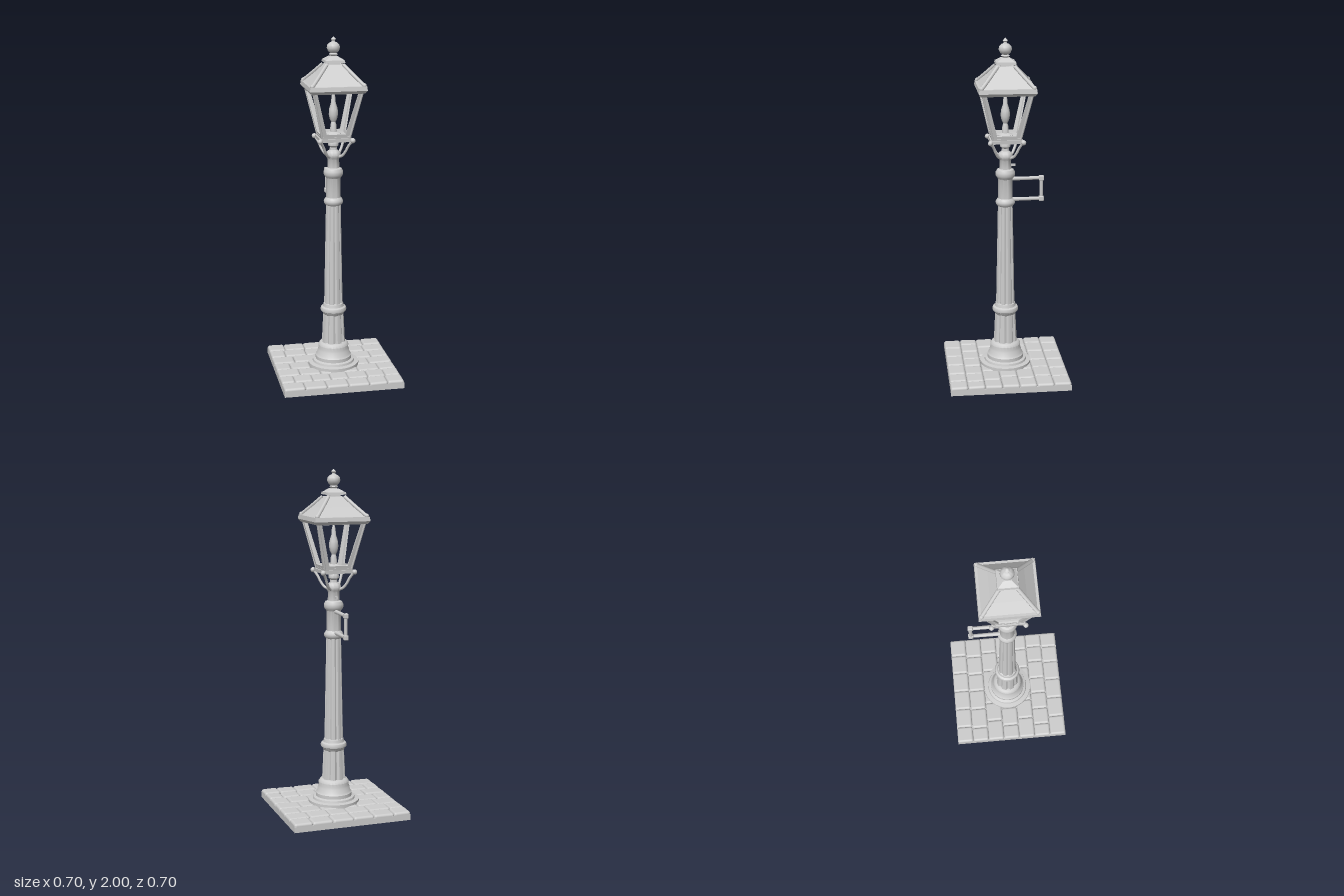
import * as THREE from 'three';
import { toCreasedNormals } from 'three/addons/utils/BufferGeometryUtils.js';
import { RoundedBoxGeometry } from 'three/addons/geometries/RoundedBoxGeometry.js';

const grey = new THREE.MeshStandardMaterial({ color: 0xcccccc });
grey.name = 'plain grey';

function add(parent, name, geometry, x = 0, y = 0, z = 0) {
  const mesh = new THREE.Mesh(geometry, grey);
  mesh.name = name;
  mesh.position.set(x, y, z);
  parent.add(mesh);
  return mesh;
}

// Turned part from [radius, height] pairs
function turned(parent, name, profile, segments = 28) {
  const points = profile.map(([r, y]) => new THREE.Vector2(r, y));
  return add(parent, name, toCreasedNormals(new THREE.LatheGeometry(points, segments), 0.7));
}

// Square tapered block between two heights, given half widths
function squareTaper(parent, name, halfBottom, halfTop, y0, y1) {
  const g = new THREE.CylinderGeometry(halfTop * Math.SQRT2, halfBottom * Math.SQRT2, y1 - y0, 4);
  g.rotateY(Math.PI / 4);
  return add(parent, name, toCreasedNormals(g, 0.5), 0, (y0 + y1) / 2, 0);
}

// Round rod through points
function rod(parent, name, points, radius) {
  const path = new THREE.CatmullRomCurve3(points.map((p) => new THREE.Vector3(...p)));
  return add(parent, name, new THREE.TubeGeometry(path, 14, radius, 8));
}

// Tapered shaft with eight hollow flutes
function flutedShaft(parent, name, r0, r1, y0, y1) {
  const g = new THREE.CylinderGeometry(r1, r0, y1 - y0, 64, 1, true);
  const p = g.attributes.position;
  for (let i = 0; i < p.count; i++) {
    const a = Math.atan2(p.getZ(i), p.getX(i));
    const k = 1 - 0.13 * Math.max(0, Math.cos(8 * a));
    p.setX(i, p.getX(i) * k);
    p.setZ(i, p.getZ(i) * k);
  }
  return add(parent, name, toCreasedNormals(g, 0.6), 0, (y0 + y1) / 2, 0);
}

function buildPaving(root) {
  const paving = new THREE.Group();
  paving.name = 'paving';
  root.add(paving);
  add(paving, 'pavingSlab', new THREE.BoxGeometry(0.7, 0.034, 0.7), 0, 0.017, 0);
  let seed = 7;
  const rnd = () => (seed = (seed * 16807) % 2147483647) / 2147483647 - 0.5;
  const rows = 7, depth = 0.1;
  for (let r = 0; r < rows; r++) {
    let x = -0.35;
    let first = true;
    while (x < 0.349) {
      let w = (first && r % 2 ? 0.075 : 0.115) + rnd() * 0.03;
      if (0.35 - x - w < 0.06) w = 0.35 - x;
      first = false;
      const h = 0.034 + rnd() * 0.006;
      const stone = add(paving, 'cobble', new RoundedBoxGeometry(w, h, depth, 3, 0.014),
        x + w / 2, 0.033, -0.35 + (r + 0.5) * depth);
      stone.rotation.set(rnd() * 0.05, 0, rnd() * 0.05);
      x += w;
    }
  }
}

function buildPost(root) {
  const post = new THREE.Group();
  post.name = 'post';
  root.add(post);
  turned(post, 'postFoot', [[0, 0.03], [0.15, 0.03], [0.15, 0.064], [0.125, 0.068], [0.122, 0.08],
    [0.107, 0.085], [0.107, 0.105], [0.098, 0.115], [0.093, 0.14], [0.088, 0.15], [0.09, 0.17],
    [0.08, 0.185], [0.066, 0.19], [0, 0.19]]);
  flutedShaft(post, 'lowerShaft', 0.069, 0.06, 0.185, 0.38);
  turned(post, 'lowerCollar', [[0.05, 0.355], [0.062, 0.365], [0.066, 0.378], [0.075, 0.384], [0.077, 0.395],
    [0.073, 0.406], [0.062, 0.412], [0.058, 0.43], [0.045, 0.435]]);
  flutedShaft(post, 'mainShaft', 0.055, 0.043, 0.42, 1.04);
  turned(post, 'upperCollar', [[0.035, 1.025], [0.046, 1.03], [0.055, 1.042], [0.056, 1.055], [0.05, 1.066],
    [0.042, 1.075], [0.042, 1.19], [0.05, 1.2], [0.056, 1.212], [0.056, 1.23], [0.048, 1.245],
    [0.035, 1.25], [0.033, 1.3], [0.04, 1.31], [0.044, 1.325], [0.038, 1.342], [0.022, 1.355],
    [0.02, 1.37], [0.03, 1.38], [0.031, 1.395], [0.022, 1.41], [0.022, 1.425]]);
  add(post, 'hookPeg', new THREE.BoxGeometry(0.012, 0.012, 0.03), 0, 1.27, -0.043);
}

// Square handle reaching out behind the post
function buildHandle(root) {
  const handle = new THREE.Group();
  handle.name = 'handle';
  root.add(handle);
  for (const y of [1.065, 1.188]) {
    const arm = add(handle, 'handleArm', new THREE.CylinderGeometry(0.01, 0.012, 0.18, 10), 0, y, -0.125);
    arm.rotation.x = -Math.PI / 2;
    add(handle, 'handleCorner', new RoundedBoxGeometry(0.026, 0.03, 0.03, 2, 0.006), 0, y, -0.21);
  }
  add(handle, 'handleGrip', new THREE.CylinderGeometry(0.01, 0.01, 0.12, 10), 0, 1.126, -0.21);
}

function buildLantern(root) {
  const lantern = new THREE.Group();
  lantern.name = 'lantern';
  root.add(lantern);
  const y0 = 1.435, y1 = 1.705, b = 0.082, t = 0.143;
  squareTaper(lantern, 'lanternFloor', 0.09, 0.092, 1.412, 1.432);
  squareTaper(lantern, 'floorRim', 0.084, 0.086, 1.432, 1.442);

  // Four tilted frames with open panes
  const slope = Math.hypot(y1 - y0, t - b);
  const frame = new THREE.Shape([[-b, 0], [b, 0], [t, slope], [-t, slope]].map((p) => new THREE.Vector2(...p)));
  const bar = 0.027;
  frame.holes.push(new THREE.Path([[-b + bar, 0.022], [-t + bar, slope - 0.012], [t - bar, slope - 0.012],
    [b - bar, 0.022]].map((p) => new THREE.Vector2(...p))));
  const frameGeo = new THREE.ExtrudeGeometry(frame, { depth: 0.01, bevelEnabled: false });
  frameGeo.translate(0, 0, -0.01);
  frameGeo.rotateX(Math.atan2(t - b, y1 - y0));
  frameGeo.translate(0, y0, b);
  for (let i = 0; i < 4; i++) add(lantern, 'paneFrame', frameGeo).rotation.y = i * Math.PI / 2;

  // Corner posts, curved supports, roof ridges and corner studs
  for (const sx of [-1, 1]) for (const sz of [-1, 1]) {
    const at = (d, y) => [sx * d, y, sz * d];
    rod(lantern, 'cornerPost', [at(b - 0.003, y0), at(t - 0.003, y1)], 0.007);
    rod(lantern, 'support', [at(0.024, 1.315), at(0.042, 1.325), at(0.06, 1.355), at(0.072, 1.385),
      at(0.092, 1.42)], 0.008);
    add(lantern, 'supportKnob', new THREE.SphereGeometry(0.015, 12, 8), ...at(0.094, 1.42));
    rod(lantern, 'roofRidge', [at(0.148, 1.737), at(0.098, 1.79), at(0.048, 1.845)], 0.011);
    add(lantern, 'roofStud', new THREE.SphereGeometry(0.013, 10, 8), ...at(0.147, 1.74));
  }

  // Burner and flame
  turned(lantern, 'flame', [[0, 1.44], [0.045, 1.44], [0.045, 1.45], [0.02, 1.46], [0.017, 1.5], [0.012, 1.515],
    [0.022, 1.535], [0.027, 1.56], [0.025, 1.59], [0.014, 1.625], [0.011, 1.66], [0.004, 1.69], [0, 1.695]], 16);

  // Roof and its stepped cap
  squareTaper(lantern, 'eavesUnder', 0.15, 0.163, 1.695, 1.712);
  squareTaper(lantern, 'eaves', 0.163, 0.16, 1.712, 1.736);
  squareTaper(lantern, 'lowerRoof', 0.148, 0.096, 1.734, 1.787);
  squareTaper(lantern, 'upperRoof', 0.096, 0.046, 1.787, 1.845);
  squareTaper(lantern, 'capNeck', 0.032, 0.03, 1.84, 1.858);
  squareTaper(lantern, 'capPlate', 0.057, 0.055, 1.856, 1.87);
  squareTaper(lantern, 'capTop', 0.052, 0.022, 1.87, 1.89);
  turned(lantern, 'finial', [[0.016, 1.88], [0.017, 1.892], [0.026, 1.9], [0.018, 1.907], [0.03, 1.917],
    [0.038, 1.935], [0.035, 1.952], [0.022, 1.965], [0.01, 1.97], [0.009, 1.976], [0.015, 1.984],
    [0.008, 1.992], [0, 2]], 20);
}

export function createModel() {
  const root = new THREE.Group();
  root.name = 'streetLamp';
  buildPaving(root);
  buildPost(root);
  buildHandle(root);
  buildLantern(root);
  return root;
}
